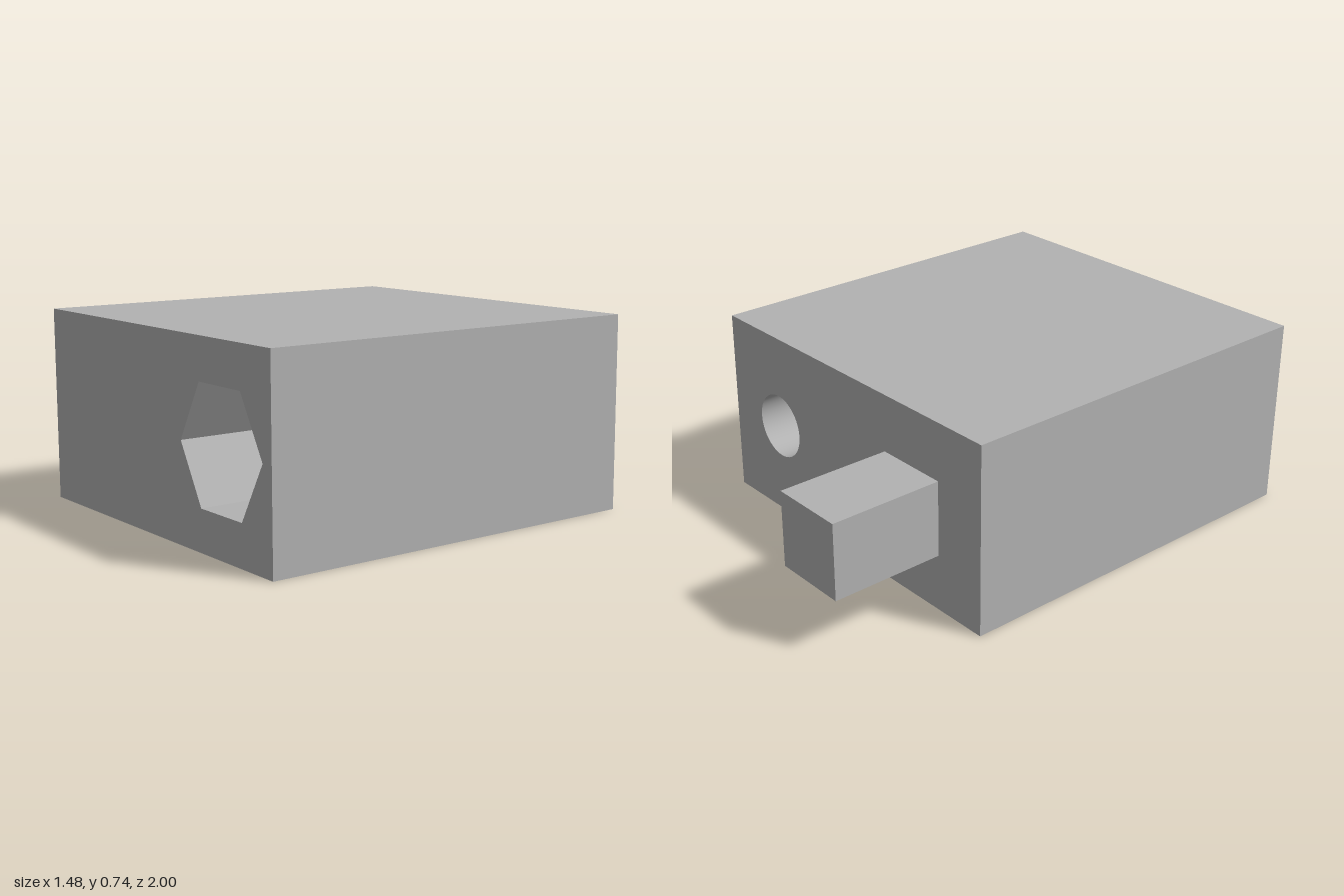
import * as THREE from 'three';

const W = 1.48, H = 0.742, FRONT = 1, BACK = -0.555;
const D = FRONT - BACK, MID_Z = (FRONT + BACK) / 2;
const BORE = { x: 0.44, y: H / 2, r: 0.128 };
const HEX = { r: 0.249, depth: 0.37 };
const SOCKET = { x: 0, z: 0.62, r: 0.117, depth: 0.37 };

// Regular polygon outline; many sides give a circle
function outline(Type, x, y, r, sides) {
  const pts = [];
  for (let i = 0; i < sides; i++) {
    const a = (i / sides) * Math.PI * 2;
    pts.push(new THREE.Vector2(x + r * Math.cos(a), y + r * Math.sin(a)));
  }
  return new Type(pts);
}

// Flat rectangular face centred on the origin, with an optional hole
function panel(w, h, hole) {
  const s = new THREE.Shape([
    new THREE.Vector2(-w / 2, -h / 2), new THREE.Vector2(w / 2, -h / 2),
    new THREE.Vector2(w / 2, h / 2), new THREE.Vector2(-w / 2, h / 2)]);
  if (hole) s.holes.push(hole);
  return new THREE.ShapeGeometry(s);
}

// Open tube along y whose surface faces inward
function holeWall(r, length, sides) {
  let g = new THREE.CylinderGeometry(r, r, length, sides, 1, true, Math.PI / 2);
  const index = g.getIndex();
  for (let i = 0; i < index.count; i += 3) {
    const a = index.getX(i);
    index.setX(i, index.getX(i + 1));
    index.setX(i + 1, a);
  }
  const n = g.attributes.normal;
  for (let i = 0; i < n.count; i++) n.setXYZ(i, -n.getX(i), -n.getY(i), -n.getZ(i));
  if (sides <= 6) {
    g = g.toNonIndexed();
    g.computeVertexNormals();
  }
  return g;
}

export function createModel() {
  const model = new THREE.Group();
  model.name = 'socketBlock';
  const grey = new THREE.MeshStandardMaterial({ color: 0xb2b2b2 });
  grey.name = 'plain grey';

  const add = (name, geometry, x, y, z, rx = 0, ry = 0) => {
    const mesh = new THREE.Mesh(geometry, grey);
    mesh.name = name;
    mesh.position.set(x, y, z);
    mesh.rotation.set(rx, ry, 0);
    model.add(mesh);
  };
  const Q = Math.PI / 2;

  // Block faces
  add('frontFace', panel(W, H, outline(THREE.Path, BORE.x, 0, HEX.r, 6)), 0, H / 2, FRONT);
  add('backFace', panel(W, H, outline(THREE.Path, -BORE.x, 0, BORE.r, 48)), 0, H / 2, BACK, 0, Math.PI);
  add('topFace', panel(W, D), 0, H, MID_Z, -Q);
  add('bottomFace', panel(W, D, outline(THREE.Path, SOCKET.x, SOCKET.z - MID_Z, SOCKET.r, 48)), 0, 0, MID_Z, Q);
  add('leftFace', panel(D, H), W / 2, H / 2, MID_Z, 0, Q);
  add('rightFace', panel(D, H), -W / 2, H / 2, MID_Z, 0, -Q);

  // Hexagonal recess, its shoulder and the through bore behind it
  const shoulderZ = FRONT - HEX.depth;
  const shoulder = outline(THREE.Shape, 0, 0, HEX.r, 6);
  shoulder.holes.push(outline(THREE.Path, 0, 0, BORE.r, 48));
  add('hexRecess', holeWall(HEX.r, HEX.depth, 6), BORE.x, BORE.y, FRONT - HEX.depth / 2, Q);
  add('hexShoulder', new THREE.ShapeGeometry(shoulder), BORE.x, BORE.y, shoulderZ);
  add('throughBore', holeWall(BORE.r, shoulderZ - BACK, 48), BORE.x, BORE.y, (shoulderZ + BACK) / 2, Q);

  // Blind round socket in the underside
  add('bottomSocket', holeWall(SOCKET.r, SOCKET.depth, 48), SOCKET.x, SOCKET.depth / 2, SOCKET.z);
  add('bottomSocketEnd', new THREE.CircleGeometry(SOCKET.r, 48), SOCKET.x, SOCKET.depth, SOCKET.z, Q);

  // Square peg on the back
  add('backPeg', new THREE.BoxGeometry(0.295, 0.295, 0.445), -0.371, H / 2, -0.7775);

  return model;
}
